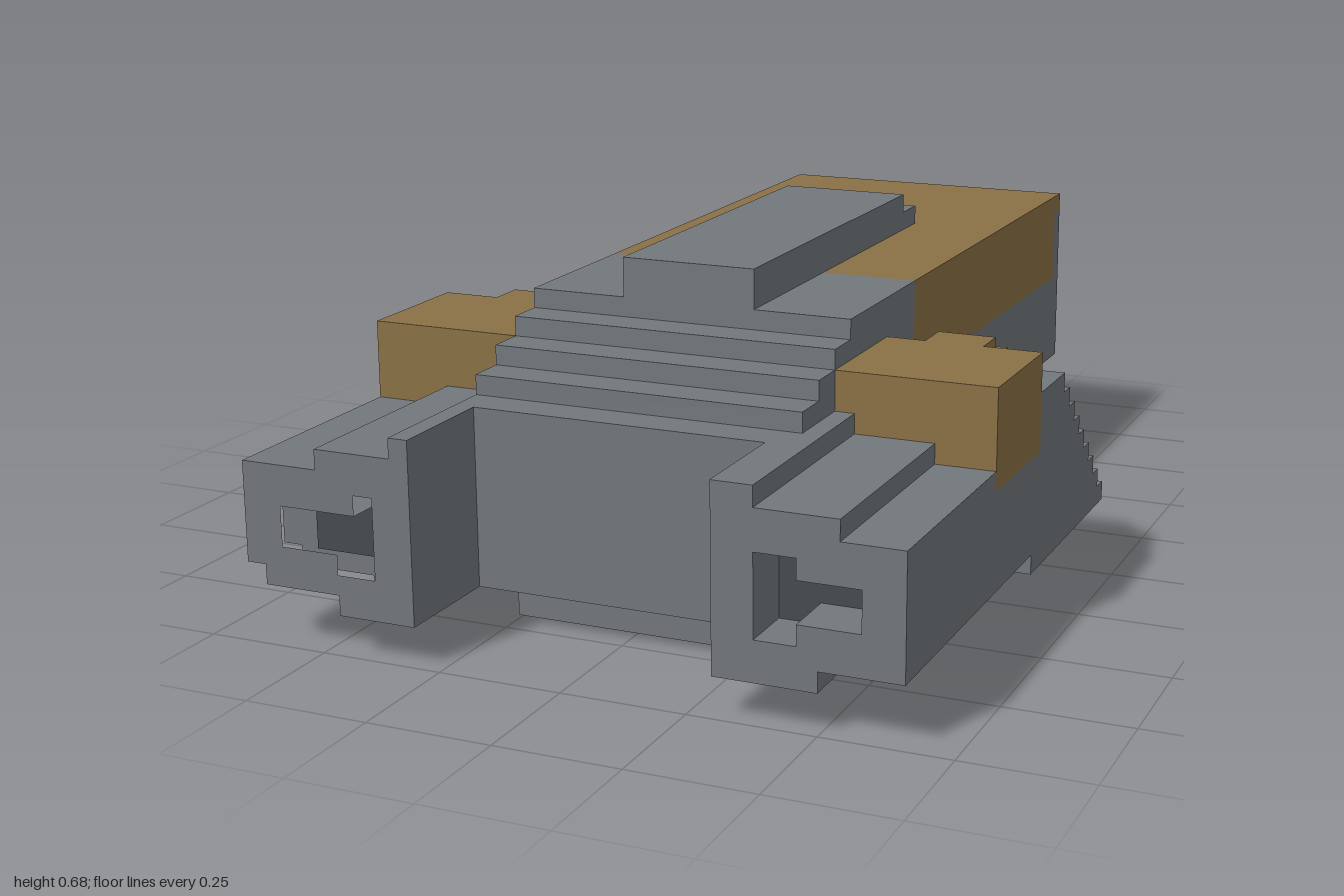
import * as THREE from 'three';

const material = (color) => new THREE.MeshStandardMaterial({ color, flatShading: true });

export function createModel() {
  const model = new THREE.Group();
  const grey = material(0x72777c), gold = material(0x8a7045), dark = material(0x454a50);

  const add = (name, geometry, mat) => {
    const mesh = new THREE.Mesh(geometry, mat);
    mesh.name = name;
    model.add(mesh);
    return mesh;
  };
  // Box given by its limits on each axis
  const box = (name, mat, x0, x1, y0, y1, z0, z1) => {
    const g = new THREE.BoxGeometry(Math.abs(x1 - x0), y1 - y0, z1 - z0);
    g.translate((x0 + x1) / 2, (y0 + y1) / 2, (z0 + z1) / 2);
    return add(name, g, mat);
  };
  // Box centred on x
  const slab = (name, mat, w, ...rest) => box(name, mat, -w, w, ...rest);
  const points = (list) => list.map(([x, y]) => new THREE.Vector2(x, y));

  // Main hull
  slab('hullFront', grey, 0.30, 0.08, 0.44, 0.28, 0.76);
  slab('hullMiddle', grey, 0.34, 0.08, 0.44, 0.08, 0.28);
  slab('hullRear', grey, 0.34, 0.20, 0.40, -0.96, 0.08);
  slab('hullUpper', grey, 0.34, 0.44, 0.60, 0.08, 0.44);
  for (let i = 0; i < 3; i++) {
    slab('noseStep', grey, 0.34, 0.44, 0.48 + i * 0.04, 0.44, 0.68 - i * 0.08);
  }

  // Stepped underside with narrow lips at the rear
  [[-0.64, 0.08, -0.68], [-0.76, 0.12, -0.80], [-0.84, 0.16, -0.96]].forEach(([z, y, lip]) => {
    slab('undersideStep', grey, 0.34, y, y + 0.04, z, 0.08);
    slab('undersideLip', dark, 0.26, y, y + 0.04, lip, z);
  });

  // Coloured upper hull and tail
  slab('upperPanel', gold, 0.34, 0.40, 0.60, -0.92, 0.08);
  slab('tailTrim', gold, 0.34, 0.56, 0.60, -0.96, -0.92);
  box('tailCorner', gold, -0.34, -0.30, 0.40, 0.56, -0.96, -0.92);
  box('tailWall', grey, -0.30, 0.34, 0.40, 0.56, -0.96, -0.92);
  slab('tailPlate', dark, 0.26, 0.20, 0.40, -1.0, -0.96);

  // Roof ridge and belly plate
  slab('roofRidge', grey, 0.14, 0.60, 0.68, -0.40, 0.44);
  slab('roofRidgeEnd', grey, 0.14, 0.60, 0.64, -0.48, -0.40);
  slab('bellyPlate', grey, 0.26, 0, 0.08, -0.44, 0.68);
  slab('bellyPlateEnd', grey, 0.26, 0.04, 0.08, -0.48, -0.44);

  // Pod cross-sections, slightly different on each side
  const leftPod = {
    outline: [[0.30, 0.08], [0.50, 0.08], [0.50, 0.12], [0.66, 0.12], [0.66, 0.36],
      [0.54, 0.36], [0.54, 0.40], [0.38, 0.40], [0.38, 0.44], [0.30, 0.44]],
    mouth: [[0.38, 0.16], [0.46, 0.16], [0.46, 0.20], [0.58, 0.20], [0.58, 0.28],
      [0.46, 0.28], [0.46, 0.32], [0.38, 0.32]],
  };
  const rightPod = {
    outline: [[-0.30, 0.08], [-0.46, 0.08], [-0.46, 0.12], [-0.62, 0.12], [-0.62, 0.16],
      [-0.66, 0.16], [-0.66, 0.36], [-0.50, 0.36], [-0.50, 0.40], [-0.34, 0.40],
      [-0.34, 0.44], [-0.30, 0.44]],
    mouth: [[-0.38, 0.16], [-0.46, 0.16], [-0.46, 0.20], [-0.58, 0.20], [-0.58, 0.28],
      [-0.42, 0.28], [-0.42, 0.32], [-0.38, 0.32]],
  };
  const section = (name, outline, z0, z1, hole) => {
    const shape = new THREE.Shape(points(outline));
    if (hole) shape.holes.push(new THREE.Path(points(hole)));
    const g = new THREE.ExtrudeGeometry(shape, { depth: z1 - z0, bevelEnabled: false });
    g.translate(0, 0, z0);
    add(name, g, grey);
  };

  // Staircase strip at the back of a pod, optionally with a slot
  const stairs = (x0, x1, slotted) => {
    const p = [[-0.28, 0.08], [-0.28, 0.32], [-0.24, 0.32], [-0.24, 0.44], [-0.08, 0.44]];
    for (let k = 0; k < 8; k++) {
      const a = -0.08 + k * 0.04;
      const y = slotted && k >= 1 && k <= 5 ? 0.12 : 0.40 - k * 0.04;
      p.push([a, y], [a + 0.04, y]);
    }
    p.push([0.24, 0.08]);
    const g = new THREE.ExtrudeGeometry(new THREE.Shape(points(p)),
      { depth: x1 - x0, bevelEnabled: false });
    g.rotateY(Math.PI / 2).translate(x0, 0, 0);
    add('podStairs', g, grey);
  };

  [[1, leftPod], [-1, rightPod]].forEach(([s, pod]) => {
    section('podMouth', pod.outline, 0.88, 1.0, pod.mouth);
    section('podBarrel', pod.outline, 0.52, 0.88);
    box('mouthBack', dark, s * 0.38, s * 0.58, 0.16, 0.32, 0.87, 0.885);
    // Lower part of the pod beneath the coloured block
    const low = pod.outline.filter(([, y]) => y < 0.32);
    section('podMiddle', [...low, [s * 0.66, 0.32], [s * 0.30, 0.32]], 0.28, 0.52);

    // Coloured block with two smaller steps behind it
    box('podBlock', gold, s * 0.34, s * 0.66, 0.32, 0.52, 0.24, 0.52);
    box('podBlockStep', gold, s * 0.42, s * 0.54, 0.44, 0.52, 0.16, 0.24);
    box('podBlockStep', gold, s * 0.42, s * 0.54, 0.44, 0.48, 0.08, 0.16);

    // Rear stairs either side of a dark slot
    [[0.34, 0.42, false], [0.42, 0.54, true], [0.54, 0.66, false]].forEach(([a, b, slot]) => {
      stairs(s > 0 ? a : -b, s > 0 ? b : -a, slot);
    });
    box('slotFloor', dark, s * 0.42, s * 0.54, 0.12, 0.125, -0.16, 0.04);
    box('slotWall', dark, s * 0.42, s * 0.54, 0.12, 0.36, 0.035, 0.04);
  });

  return model;
}
